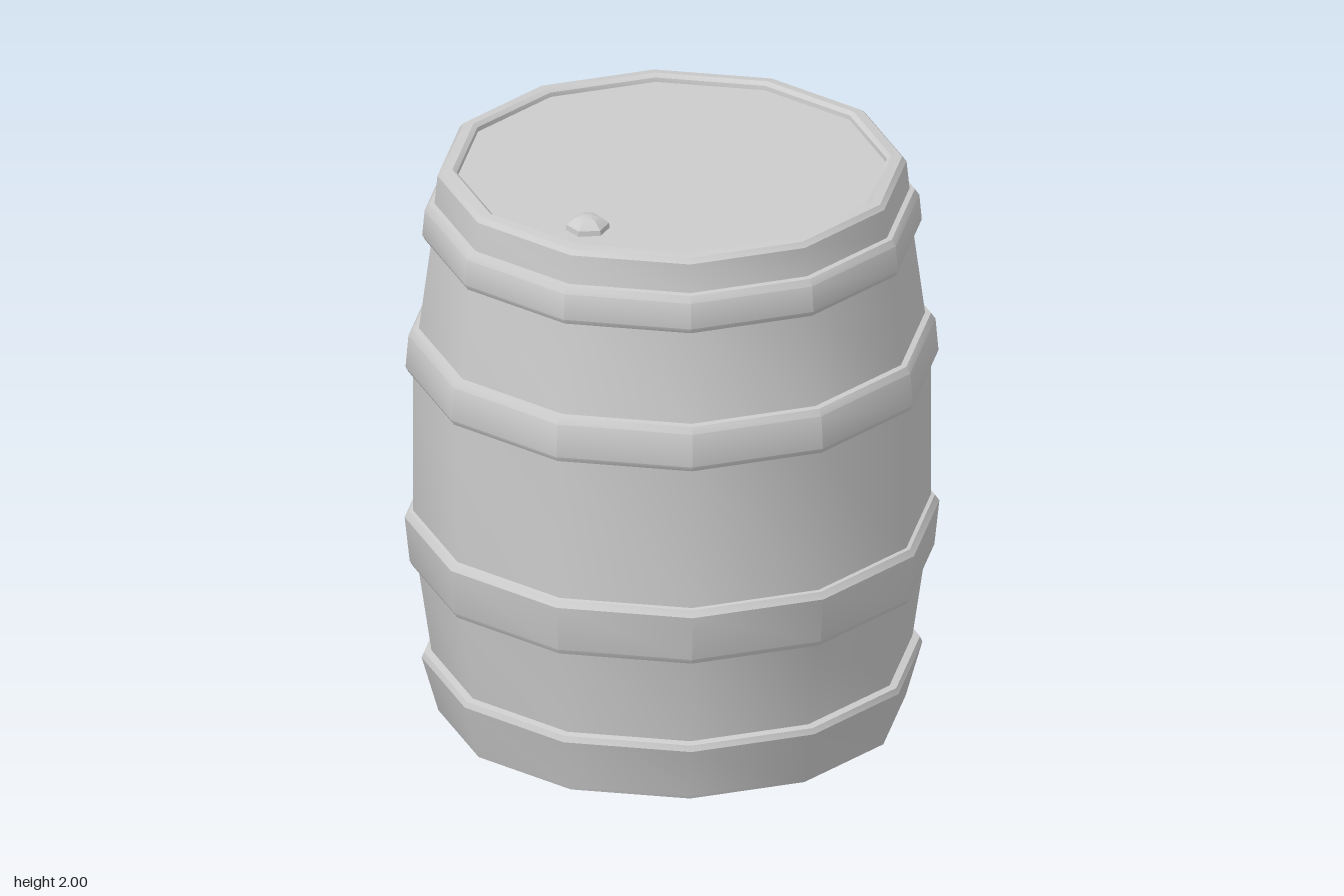
import * as THREE from 'three';
import { toCreasedNormals } from 'three/addons/utils/BufferGeometryUtils.js';

const SIDES = 12;
const TURN = -8.3 * Math.PI / 180;
const material = new THREE.MeshStandardMaterial({ color: 0xcccccc, side: THREE.DoubleSide });

// Revolve a [radius, height] profile; sides stay smooth, ledges stay sharp.
function turned(name, profile, sides = SIDES, start = TURN) {
  const points = profile.map(([r, y]) => new THREE.Vector2(r, y));
  const geometry = new THREE.LatheGeometry(points, sides, start);
  const mesh = new THREE.Mesh(toCreasedNormals(geometry, 0.6), material);
  mesh.name = name;
  return mesh;
}

// Hoop from y0 to y1 standing proud of the staves (inner radii a0, a1).
function hoop(name, y0, y1, a0, a1, r0, r1) {
  return turned(name, [
    [a0, y0], [r0 - 0.01, y0 + 0.002], [r0, y0 + 0.02],
    [r1, y1 - 0.025], [r1 - 0.015, y1 - 0.003], [a1, y1],
  ]);
}

export function createModel() {
  const barrel = new THREE.Group();
  barrel.name = 'barrel';

  // Open-bottomed foot with a small ledge
  barrel.add(turned('foot', [[0.785, 0.01], [0.782, 0], [0.838, 0.195], [0.83, 0.215], [0.805, 0.22]]));

  // Bulging staves between the hoops
  barrel.add(turned('lowerStaves', [[0.805, 0.22], [0.85, 0.53]]));
  barrel.add(turned('middleStaves', [[0.867, 0.73], [0.867, 1.24]]));
  barrel.add(turned('upperStaves', [[0.847, 1.4], [0.805, 1.72]]));

  // Three hoops
  barrel.add(hoop('lowerHoop', 0.53, 0.735, 0.85, 0.867, 0.878, 0.895));
  barrel.add(hoop('middleHoop', 1.24, 1.4, 0.867, 0.847, 0.892, 0.882));
  barrel.add(hoop('upperHoop', 1.72, 1.855, 0.805, 0.795, 0.836, 0.828));

  // Rim, folding over and down to the lid
  barrel.add(turned('rim', [[0.795, 1.855], [0.785, 1.955], [0.77, 1.972], [0.735, 1.976], [0.72, 1.965], [0.718, 1.95]]));
  barrel.add(turned('lid', [[0.718, 1.95], [0, 1.95]]));

  // Six-sided bung near the front edge of the lid
  const bung = turned('bung', [[0.074, 1.945], [0.072, 1.968], [0.042, 1.992], [0, 2]], 6, 23 * Math.PI / 180);
  bung.position.set(-0.38, 0, 0.405);
  barrel.add(bung);

  return barrel;
}
